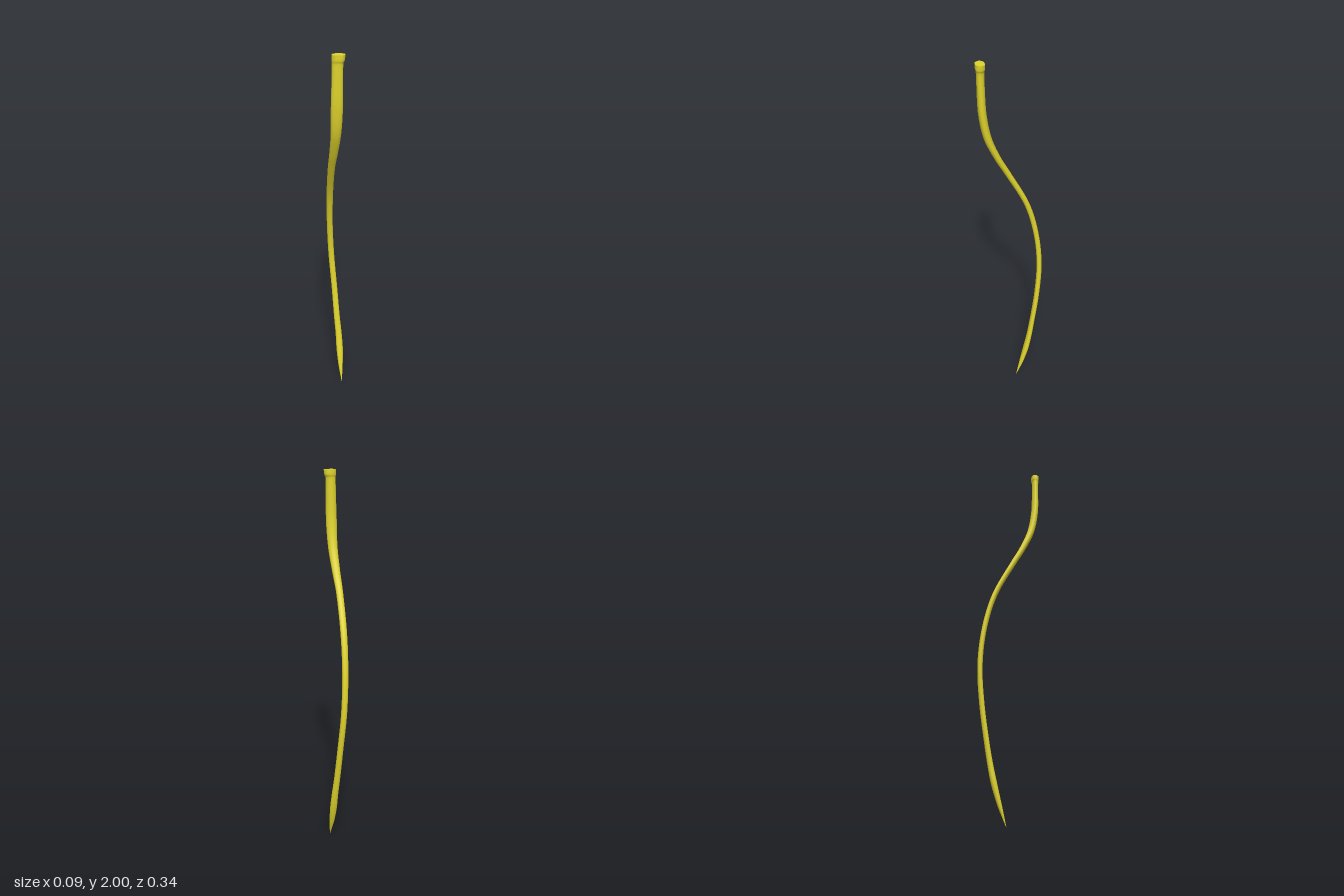
import * as THREE from 'three';

// Stations from tip to cut end: centre x, height y, centre z, half width, half depth
const STATIONS = [
  [0.034, 0, -0.018, 0.001, 0.001],
  [0.032, 0.04, -0.031, 0.006, 0.006],
  [0.029, 0.1, -0.050, 0.013, 0.012],
  [0.025, 0.2, -0.077, 0.019, 0.016],
  [0.020, 0.3, -0.098, 0.018, 0.015],
  [0.012, 0.4, -0.115, 0.017, 0.014],
  [-0.001, 0.6, -0.143, 0.016, 0.014],
  [-0.016, 0.8, -0.156, 0.016, 0.014],
  [-0.025, 1.0, -0.138, 0.016, 0.014],
  [-0.028, 1.2, -0.086, 0.017, 0.015],
  [-0.026, 1.4, 0.014, 0.018, 0.017],
  [-0.019, 1.5, 0.067, 0.021, 0.018],
  [-0.011, 1.62, 0.116, 0.025, 0.020],
  [-0.008, 1.75, 0.139, 0.028, 0.020],
  [-0.006, 1.88, 0.144, 0.026, 0.019],
  [-0.004, 1.96, 0.145, 0.026, 0.019],
  [-0.002, 1.975, 0.145, 0.030, 0.023],
  [-0.001, 2.0, 0.145, 0.031, 0.023],
];
const SIDES = 20;
const RINGS = 120;

const centre = new THREE.CatmullRomCurve3(STATIONS.map(([x, y, z]) => new THREE.Vector3(x, y, z)));
const size = new THREE.CatmullRomCurve3(
  STATIONS.map(([, , , w, d]) => new THREE.Vector3(w, d, 0)), false, 'catmullrom');

// One level ring, with a shallow groove down the front and a faint woody ripple
function ring(t) {
  const c = centre.getPoint(t), s = size.getPoint(t), points = [];
  for (let i = 0; i < SIDES; i++) {
    const a = (i / SIDES) * Math.PI * 2;
    const groove = 0.14 * Math.exp(-Math.pow(Math.atan2(Math.sin(a), Math.cos(a)) / 0.3, 2));
    const ripple = 0.03 * Math.sin(3 * a + t * 14);
    const k = 1 - groove + ripple;
    points.push(c.x + Math.sin(a) * s.x * k, c.y, c.z + Math.cos(a) * s.y * k);
  }
  return points;
}

function surface(positions, index, material, name) {
  const g = new THREE.BufferGeometry();
  g.setAttribute('position', new THREE.Float32BufferAttribute(positions, 3));
  g.setIndex(index);
  g.computeVertexNormals();
  const mesh = new THREE.Mesh(g, material);
  mesh.name = name;
  return mesh;
}

export function createModel() {
  const group = new THREE.Group();
  group.name = 'curvedStalk';
  const material = new THREE.MeshStandardMaterial({ color: 0xdfd32c });

  // Tapering stalk, lofted from tip to cut end
  const positions = [], index = [];
  for (let j = 0; j <= RINGS; j++) positions.push(...ring(j / RINGS));
  for (let j = 0; j < RINGS; j++) {
    for (let i = 0; i < SIDES; i++) {
      const n = (i + 1) % SIDES;
      const a = j * SIDES + i, b = j * SIDES + n;
      index.push(a, b, b + SIDES, a, b + SIDES, a + SIDES);
    }
  }
  group.add(surface(positions, index, material, 'stalk'));

  // Flat cut end at the top
  const end = STATIONS[STATIONS.length - 1];
  const capPositions = [...ring(1), end[0], end[1], end[2]], capIndex = [];
  for (let i = 0; i < SIDES; i++) capIndex.push(SIDES, i, (i + 1) % SIDES);
  group.add(surface(capPositions, capIndex, material, 'cutEnd'));

  return group;
}
